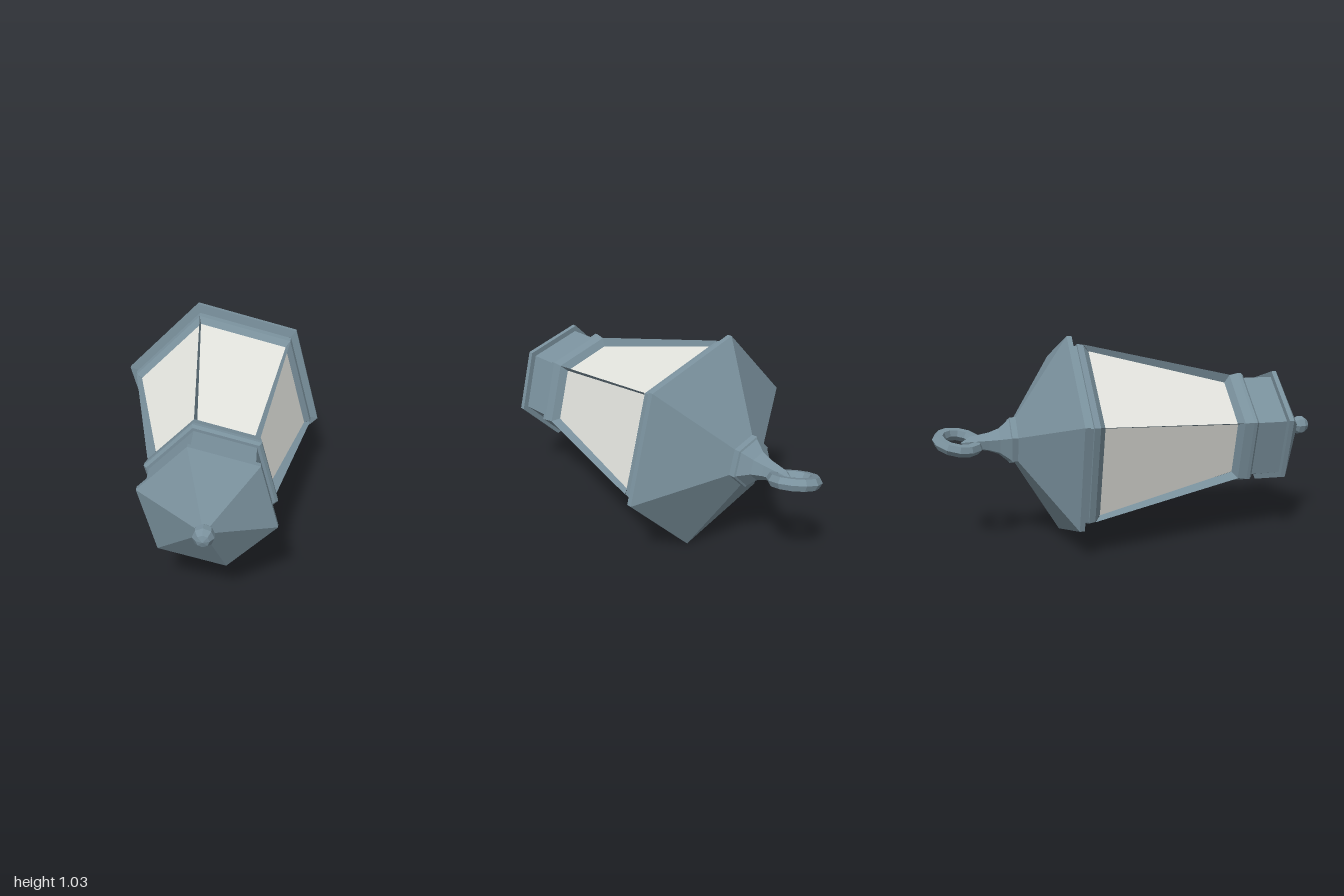
import * as THREE from 'three';

const frameMat = new THREE.MeshStandardMaterial({ color: 0x7a919d, flatShading: true, side: THREE.DoubleSide });
const glassMat = new THREE.MeshStandardMaterial({ color: 0xe6e7e1, flatShading: true, side: THREE.DoubleSide });
const CORNER = Math.PI / 4; // angle of the first hexagon corner

export function createModel() {
  const model = new THREE.Group();
  // The lantern is built upright along y, then laid on its side with its top towards -z.
  const lantern = new THREE.Group();
  lantern.name = 'lantern';
  lantern.rotation.x = -Math.PI / 2;
  lantern.position.y = 0.515;
  model.add(lantern);

  const add = (name, geometry, material = frameMat) => {
    const mesh = new THREE.Mesh(geometry, material);
    mesh.name = name;
    lantern.add(mesh);
    return mesh;
  };
  // Six-sided turned shape from [radius, height] pairs, bottom to top
  const hex = (name, profile, material) =>
    add(name, new THREE.LatheGeometry(profile.map(([r, y]) => new THREE.Vector2(r, y)), 6, CORNER), material);
  // Point at a hexagon corner
  const corner = (k, r, y) => {
    const a = CORNER + k * Math.PI / 3;
    return [r * Math.cos(a), y, r * Math.sin(a)];
  };
  // Thin upright bar from corner a at the sill to corner b at the eave
  const bar = (name, a, b) => {
    const g = new THREE.BufferGeometry();
    const points = [corner(a, 0.265, -0.48), corner(a, 0.308, -0.5), corner(b, 0.49, 0.28), corner(b, 0.452, 0.25)];
    g.setAttribute('position', new THREE.Float32BufferAttribute(points.flat(), 3));
    g.setIndex([0, 1, 2, 0, 2, 3]);
    g.computeVertexNormals();
    add(name, g);
  };

  // Bottom finial, pointed base and sill
  add('bottomFinial', new THREE.SphereGeometry(0.05, 8, 5)).position.y = -0.95;
  hex('base', [[0, -0.935], [0.035, -0.92], [0.319, -0.76], [0.319, -0.735], [0.288, -0.735],
    [0.288, -0.575], [0.303, -0.575], [0.316, -0.562], [0.316, -0.545], [0.306, -0.5], [0.262, -0.475], [0, -0.475]]);

  // Tapered glass panes and corner bars, plus one diagonal brace
  hex('glass', [[0.265, -0.478], [0.455, 0.252]], glassMat);
  for (let k = 0; k < 6; k++) bar('cornerBar', k, k);
  bar('diagonalBrace', 5, 4);

  // Eave frame, roof, collar and spike
  hex('roof', [[0, 0.25], [0.45, 0.25], [0.488, 0.28], [0.494, 0.31], [0.484, 0.312], [0.484, 0.333],
    [0.533, 0.338], [0.533, 0.362], [0.125, 0.6], [0.125, 0.628], [0.115, 0.632], [0.07, 0.68]]);
  hex('spike', [[0.07, 0.68], [0.05, 0.73], [0.032, 0.82], [0, 0.865]]);

  // Hanging ring, turned with the body and leaning a little
  const ring = add('hangingRing', new THREE.TorusGeometry(0.094, 0.031, 6, 12));
  ring.position.set(0, 0.875, 0.005);
  ring.rotation.set(0.18, -Math.PI / 12, 0, 'YXZ');

  return model;
}
